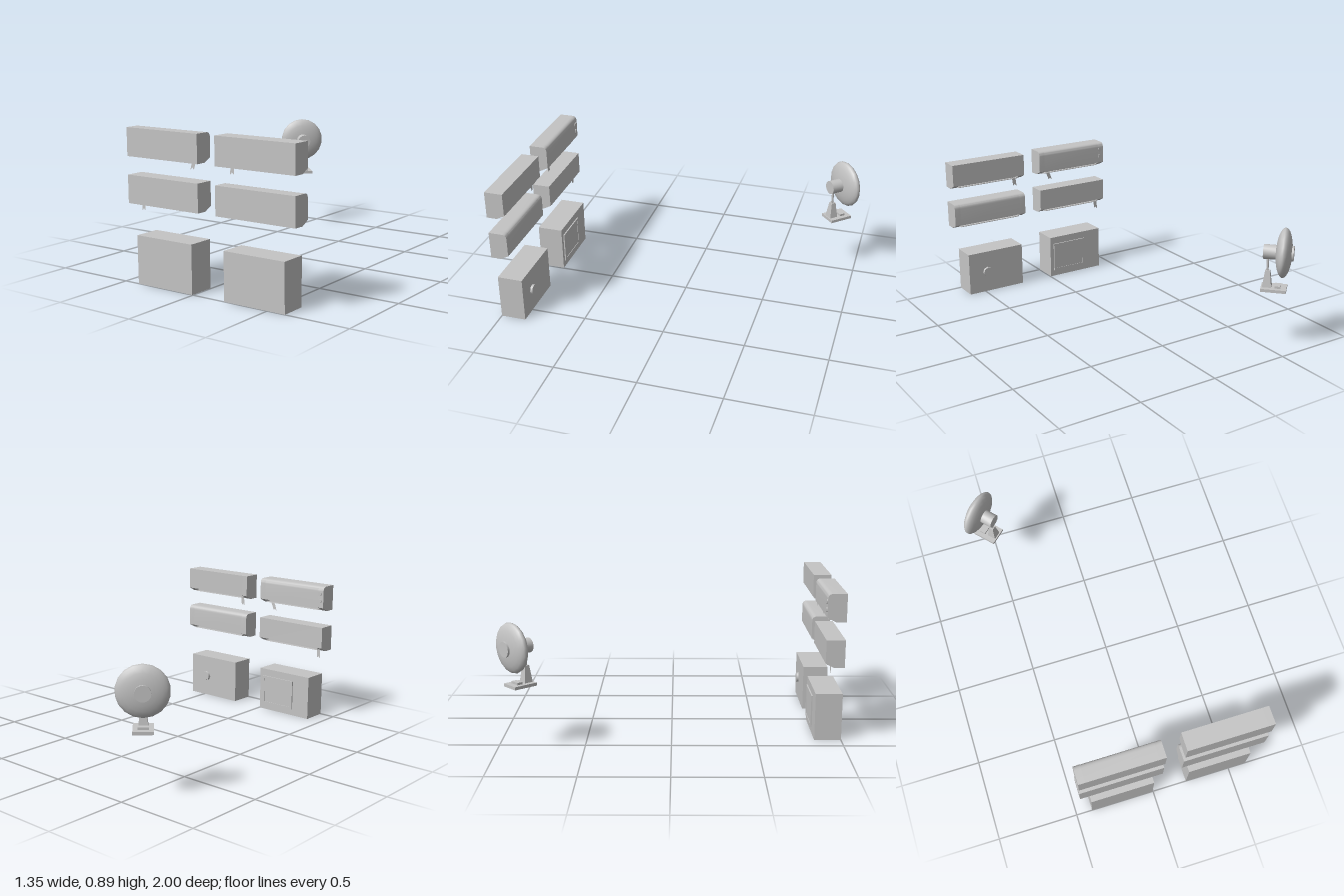
import * as THREE from 'three';
import { toCreasedNormals } from 'three/addons/utils/BufferGeometryUtils.js';

const grey = new THREE.MeshStandardMaterial({ color: 0xc4c4c4, side: THREE.DoubleSide });
grey.name = 'plainGrey';

function add(parent, name, geometry, x = 0, y = 0, z = 0) {
  const mesh = new THREE.Mesh(geometry, grey);
  mesh.name = name;
  mesh.position.set(x, y, z);
  parent.add(mesh);
  return mesh;
}

const box = (w, h, d) => new THREE.BoxGeometry(w, h, d);

// Cylinder lying along z
const disc = (r, depth, sides, r2 = r) =>
  toCreasedNormals(new THREE.CylinderGeometry(r, r2, depth, sides).rotateX(Math.PI / 2), 0.9);

// Side profile of a wall unit: depth from the wall (x) and height (y)
function unitProfile(h, round, slotted) {
  const d = 0.11;
  const s = new THREE.Shape();
  s.moveTo(0, 0);
  s.lineTo(0.062, 0);
  if (slotted) {
    s.lineTo(0.062, 0.02);
    s.lineTo(0.1, 0.032);
  }
  s.lineTo(d, 0.025);
  if (round) {
    s.lineTo(d, h - round);
    s.quadraticCurveTo(d, h, d - round, h);
  } else {
    s.lineTo(d, h);
  }
  s.lineTo(0, h);
  s.closePath();
  return s;
}

// Wall unit: solid ends, slotted middle, tilted louvre
function wallUnit(parent, name, x0, x1, y0, y1, round) {
  const unit = new THREE.Group();
  unit.name = name;
  unit.position.set(x0, y0, 0.993);
  parent.add(unit);
  const w = x1 - x0, end = 0.04;
  const section = (part, from, to, slotted) => {
    const geo = new THREE.ExtrudeGeometry(unitProfile(y1 - y0, round, slotted),
      { depth: to - from, bevelEnabled: false, curveSegments: 6 });
    add(unit, part, toCreasedNormals(geo.rotateY(Math.PI / 2), 0.6), from);
  };
  section('endCap', 0, end, false);
  section('slottedBody', end, w - end, true);
  section('endCap', w - end, w, false);
  const louvre = add(unit, 'louvre', box(w - 2 * end - 0.01, 0.005, 0.03), w / 2, 0.006, -0.081);
  louvre.rotation.x = 0.15;
  return unit;
}

// Swallow-tailed streamer hanging from a louvre
function streamer(parent, x, y, lean, length) {
  const w = 0.025;
  const s = new THREE.Shape();
  s.moveTo(0, 0.012);
  s.quadraticCurveTo(lean * 0.8, -length * 0.4, lean, -length);
  s.lineTo(lean + w * 0.5, -length * 0.72);
  s.lineTo(lean + w, -length * 0.9);
  s.quadraticCurveTo(w + lean * 0.7, -length * 0.4, w, 0.012);
  s.closePath();
  add(parent, 'streamer', new THREE.ShapeGeometry(s, 5), x, y, 0.918);
}

function rectPath(target, w, h) {
  target.moveTo(-w / 2, -h / 2);
  target.lineTo(w / 2, -h / 2);
  target.lineTo(w / 2, h / 2);
  target.lineTo(-w / 2, h / 2);
  target.closePath();
  return target;
}

function buildFan() {
  const fan = new THREE.Group();
  fan.name = 'standingFan';
  fan.position.set(-0.5625, 0, -0.895);
  fan.rotation.y = 0.75;
  // Lens-shaped cage
  const profile = [];
  for (let i = 0; i <= 12; i++) {
    const a = -Math.PI / 2 + (i / 12) * Math.PI;
    profile.push(new THREE.Vector2(Math.max(0, Math.cos(a)) * 0.146, Math.sin(a) * 0.047));
  }
  add(fan, 'cage', new THREE.LatheGeometry(profile, 18).rotateX(Math.PI / 2), 0, 0.598, 0);
  add(fan, 'motor', disc(0.043, 0.115, 16), 0, 0.597, 0.06);
  add(fan, 'cageHub', disc(0.045, 0.04, 16), 0, 0.597, -0.036);
  // Stand
  add(fan, 'rod', new THREE.CylinderGeometry(0.007, 0.007, 0.1, 8), 0, 0.52, 0.09);
  const column = new THREE.CylinderGeometry(0.02, 0.038, 0.1, 4).rotateY(Math.PI / 4).toNonIndexed();
  column.computeVertexNormals();
  add(fan, 'column', column, 0, 0.434, 0.088);
  add(fan, 'base', box(0.112, 0.018, 0.148), 0, 0.376, 0.048);
  add(fan, 'switchPad', box(0.06, 0.014, 0.034), 0, 0.391, 0.025);
  return fan;
}

export function createModel() {
  const model = new THREE.Group();
  model.name = 'airConditionersAndFan';

  // Four wall units
  const knobbed = wallUnit(model, 'upperRightUnit', -0.465, 0.041, 0.727, 0.89, 0.03);
  wallUnit(model, 'upperLeftUnit', 0.16, 0.675, 0.727, 0.89, 0);
  wallUnit(model, 'lowerRightUnit', -0.465, 0.041, 0.459, 0.622, 0);
  wallUnit(model, 'lowerLeftUnit', 0.16, 0.675, 0.459, 0.625, 0.03);
  for (const y of [0.068, 0.115]) add(knobbed, 'knob', disc(0.014, 0.01, 10), 0.028, y, -0.11);
  streamer(model, -0.046, 0.727, -0.024, 0.052);
  streamer(model, 0.211, 0.727, -0.008, 0.052);
  streamer(model, -0.432, 0.46, -0.002, 0.055);

  // Box unit with a framed grille
  const grilleUnit = new THREE.Group();
  grilleUnit.name = 'grilleUnit';
  add(grilleUnit, 'cabinet', box(0.395, 0.283, 0.158), -0.2025, 0.1415, 0.921);
  const frame = rectPath(new THREE.Shape(), 0.245, 0.195);
  frame.holes.push(rectPath(new THREE.Path(), 0.215, 0.165));
  add(grilleUnit, 'grilleFrame', new THREE.ExtrudeGeometry(frame, { depth: 0.009, bevelEnabled: false }),
    -0.153, 0.138, 0.834);
  add(grilleUnit, 'grillePanel', box(0.215, 0.165, 0.006), -0.153, 0.138, 0.84);
  model.add(grilleUnit);

  // Box unit with a round dial
  const dialUnit = new THREE.Group();
  dialUnit.name = 'dialUnit';
  add(dialUnit, 'cabinet', box(0.395, 0.28, 0.155), 0.4145, 0.14, 0.9225);
  add(dialUnit, 'dial', disc(0.033, 0.014, 8, 0.031), 0.48, 0.14, 0.838);
  model.add(dialUnit);

  model.add(buildFan());
  return model;
}
